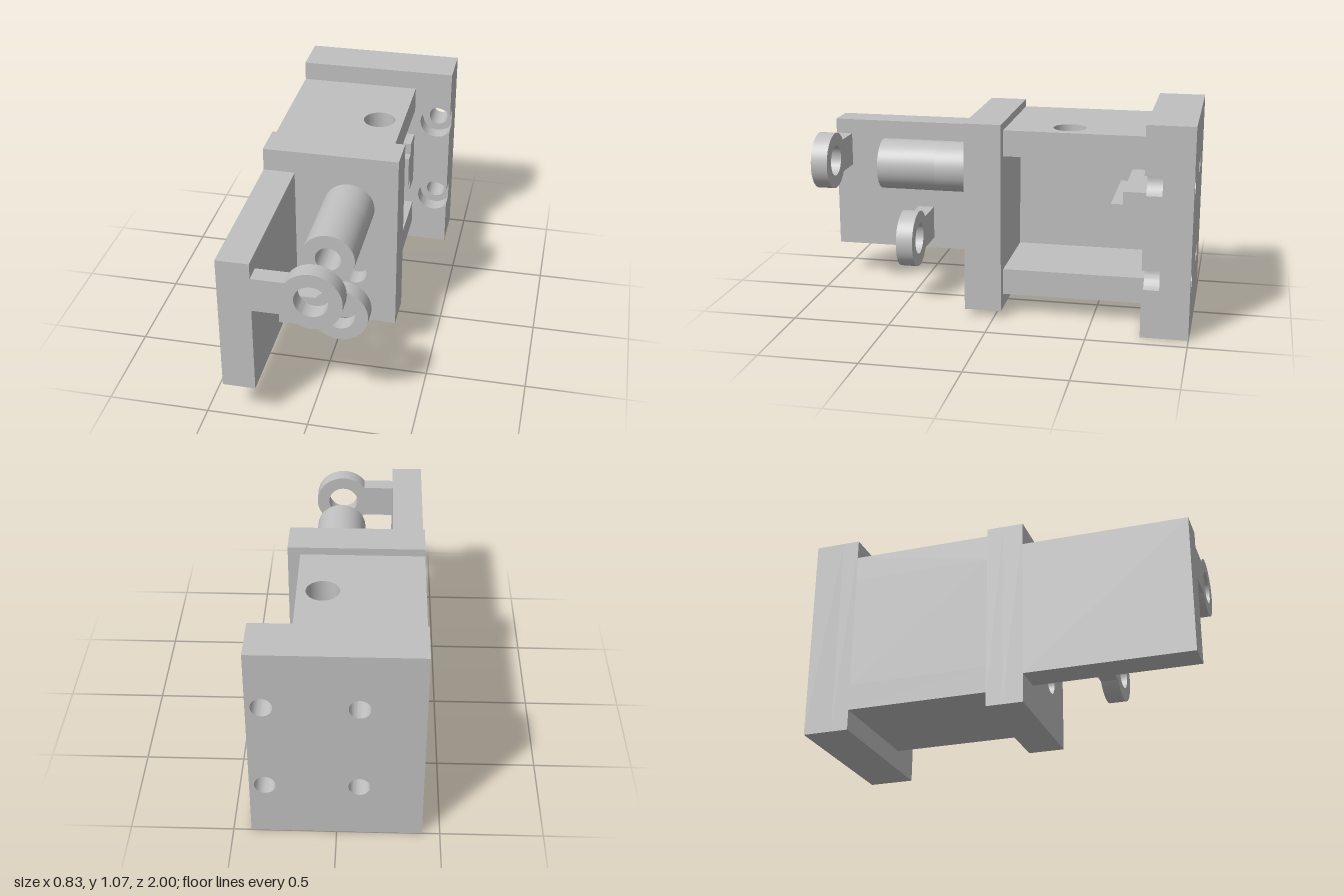
import * as THREE from 'three';
import { toCreasedNormals } from 'three/addons/utils/BufferGeometryUtils.js';

export function createModel() {
  const model = new THREE.Group();
  model.name = 'bracketAssembly';
  const grey = new THREE.MeshStandardMaterial({ color: 0xc0c0c0 });
  grey.name = 'plain grey';

  const add = (name, geometry, parent = model) => {
    const mesh = new THREE.Mesh(geometry, grey);
    mesh.name = name;
    parent.add(mesh);
    return mesh;
  };
  const group = (name) => {
    const g = new THREE.Group();
    g.name = name;
    model.add(g);
    return g;
  };
  const box = (name, x0, x1, y0, y1, z0, z1, parent) => {
    const g = new THREE.BoxGeometry(x1 - x0, y1 - y0, z1 - z0);
    g.translate((x0 + x1) / 2, (y0 + y1) / 2, (z0 + z1) / 2);
    return add(name, g, parent);
  };
  const prism = (shape, z0, z1) => {
    const g = new THREE.ExtrudeGeometry(shape, { depth: z1 - z0, bevelEnabled: false, curveSegments: 24 });
    g.translate(0, 0, z0);
    return toCreasedNormals(g, 0.6);
  };
  const circle = (Type, x, y, r) => new Type().absarc(x, y, r, 0, Math.PI * 2, false);
  const rect = (x0, x1, y0, y1) => new THREE.Shape(
    [[x0, y0], [x1, y0], [x1, y1], [x0, y1]].map(([x, y]) => new THREE.Vector2(x, y)));
  const drill = (shape, ...holes) => {
    holes.forEach(([x, y, r]) => shape.holes.push(circle(THREE.Path, x, y, r)));
    return shape;
  };

  const L = -0.413, WALL = -0.252, R = 0.413, SHELF = 0.215;
  const rows = [0.298, 0.773], outerX = 0.338, innerX = -0.108;

  // Mounting plate: through holes behind, counterbores in front (outer pair breaks the edge)
  const mount = group('mountingPlate');
  const rear = rect(L, R, 0, 1.07);
  rows.forEach((y) => drill(rear, [outerX, y, 0.051], [innerX, y, 0.051]));
  add('plateRear', prism(rear, -1, -0.85), mount);

  const bore = 0.09, open = Math.acos((R - outerX) / bore);
  const front = new THREE.Shape();
  front.moveTo(L, 0);
  front.lineTo(R, 0);
  rows.forEach((y) => {
    front.lineTo(R, y - bore * Math.sin(open));
    front.absarc(outerX, y, bore, -open, open, true);
  });
  front.lineTo(R, 1.07);
  front.lineTo(L, 1.07);
  rows.forEach((y) => drill(front, [innerX, y, bore]));
  add('plateFront', prism(front, -0.85, -0.762), mount);

  // Open housing: side wall, two shelves and a stepped rail
  const housing = group('housing');
  box('sideWall', L, WALL, 0.24, 0.837, -0.762, -0.035, housing);
  box('lowerShelf', L, SHELF, 0.105, 0.24, -0.762, -0.035, housing);
  const shelf = prism(drill(rect(L, SHELF, 0.035, 0.762), [0.087, 0.353, 0.083]), 0.837, 0.97);
  shelf.rotateX(-Math.PI / 2);
  add('upperShelf', shelf, housing);
  box('railBase', WALL, SHELF, 0.39, 0.685, -0.762, -0.642, housing);
  box('railStep', WALL, SHELF, 0.452, 0.62, -0.642, -0.582, housing);

  // Front plate with a blind hole
  const face = group('frontPlate');
  box('frontPlateBack', L, 0.278, 0.032, 1.01, -0.035, 0.05, face);
  add('frontPlateFace', prism(drill(rect(L, 0.278, 0.032, 1.01), [0.058, 0.327, 0.063]), 0.05, 0.155), face);

  // Tubular boss, closed at its base
  const boss = group('boss');
  add('bossBase', prism(circle(THREE.Shape, 0.028, 0.725, 0.131), 0.155, 0.34), boss);
  add('bossTube', prism(drill(circle(THREE.Shape, 0.028, 0.725, 0.131), [0.028, 0.725, 0.063]), 0.34, 0.645), boss);

  // Side arm carrying two ring guides
  box('sideArm', L, WALL, 0.18, 0.892, 0.155, 1);
  const guide = (name, x, y, z0, z1) => {
    const r = 0.148, half = 0.088, a = Math.PI - Math.asin(half / r);
    const s = new THREE.Shape();
    s.moveTo(WALL, y + half);
    s.lineTo(WALL, y - half);
    s.absarc(x, y, r, -a, a, false);
    add(name, prism(drill(s, [x, y, 0.081]), z0, z1));
  };
  guide('upperRingGuide', 0.028, 0.725, 0.912, 1);
  guide('lowerRingGuide', 0.057, 0.327, 0.452, 0.54);

  return model;
}
